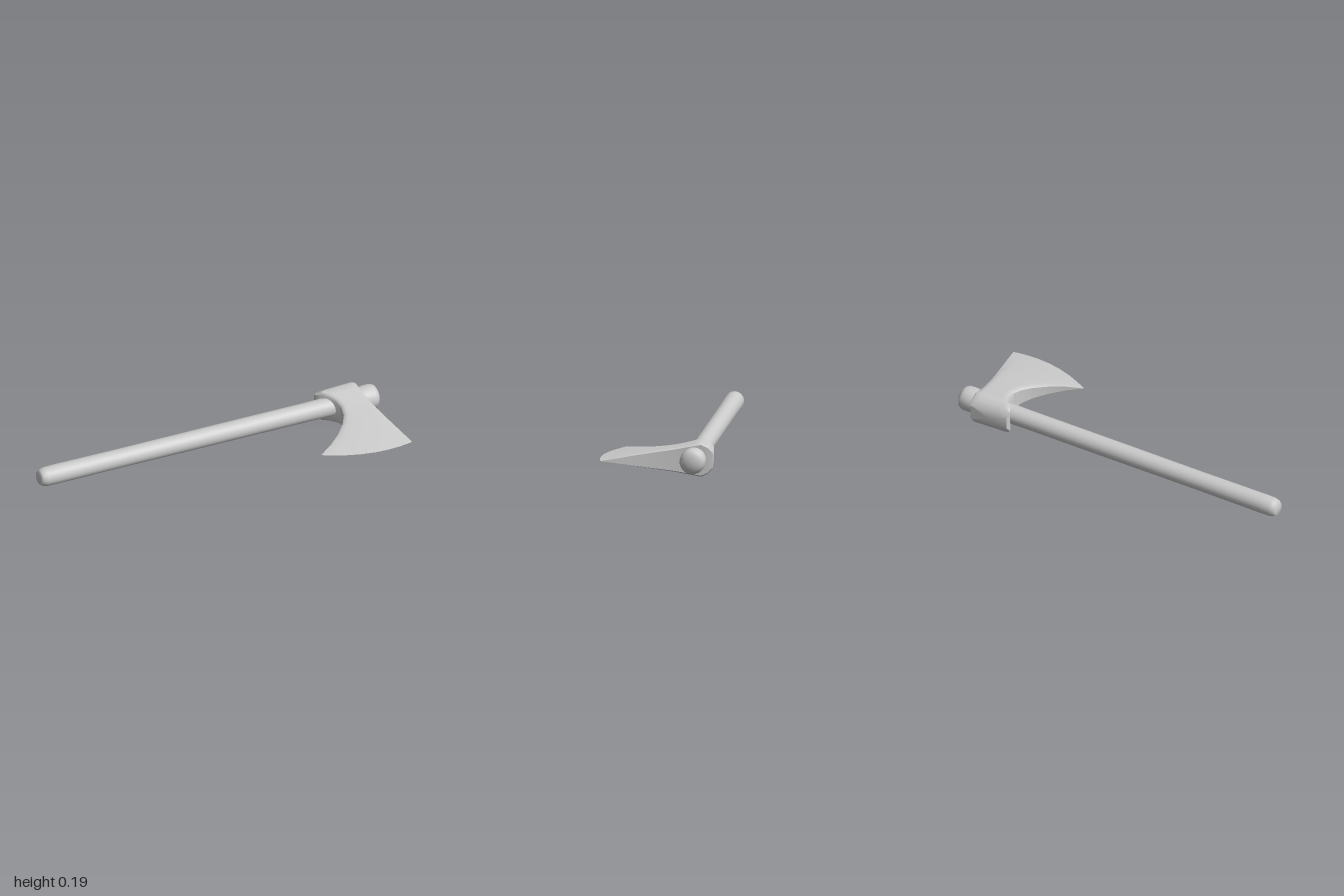
import * as THREE from 'three';
import { toCreasedNormals } from 'three/addons/utils/BufferGeometryUtils.js';

const grey = () => new THREE.MeshStandardMaterial({ color: 0xcccccc });

// Turned shaft along x, with a swollen domed end beyond the head
function makeHandle() {
  const profile = [
    [0, -1], [0.034, -0.998], [0.045, -0.985], [0.052, -0.96], [0.053, -0.9],
    [0.051, -0.5], [0.052, 0], [0.052, 0.6], [0.056, 0.8], [0.066, 0.89],
    [0.069, 0.93], [0.068, 0.965], [0.06, 0.983], [0.042, 0.994], [0.02, 0.999], [0, 1],
  ].map(([r, x]) => new THREE.Vector2(r, x));
  const geo = new THREE.LatheGeometry(profile, 32).rotateZ(-Math.PI / 2);
  const pos = geo.attributes.position;
  // slight droop toward the head
  for (let i = 0; i < pos.count; i++) {
    pos.setY(i, pos.getY(i) + 0.103 - 0.006 * pos.getX(i));
  }
  geo.translate(0, 0, -0.206);
  const mesh = new THREE.Mesh(geo, grey());
  mesh.name = 'handle';
  return mesh;
}

// Axe head lofted from the poll to the cutting edge
function makeHead() {
  const midY = 0.0935;
  // [left x, left z, right x, right z, half thickness, forward bulge]
  const rows = [
    [0.664, -0.288, 0.882, -0.306, 0.045, -0.002],
    [0.656, -0.268, 0.888, -0.28, 0.075, 0],
    [0.672, -0.235, 0.889, -0.245, 0.0925, 0],
    [0.705, -0.2, 0.891, -0.205, 0.085, 0],
    [0.73, -0.15, 0.895, -0.15, 0.074, 0],
    [0.738, -0.1, 0.902, -0.1, 0.064, 0],
    [0.725, -0.04, 0.912, -0.03, 0.053, 0.005],
    [0.69, 0.02, 0.925, 0.04, 0.042, 0.015],
    [0.63, 0.09, 0.942, 0.12, 0.029, 0.025],
    [0.56, 0.15, 0.96, 0.2, 0.015, 0.038],
    [0.48, 0.2, 0.978, 0.286, 0, 0.05],
  ];
  // fractions across the width, with eased thickness at both sides
  const across = [[0, 0.8], [0.05, 0.95], [0.12, 1], [0.25, 1], [0.4, 1], [0.55, 1],
    [0.7, 1], [0.85, 1], [0.96, 0.98], [1, 0.9]];
  const ring = [
    ...across.map(([u, t]) => [u, t]),
    ...across.map(([u, t]) => [u, -t]).reverse(),
  ];
  const n = ring.length;
  const verts = [];
  const faces = [];
  rows.forEach(([xl, zl, xr, zr, half, bulge], i) => {
    ring.forEach(([u, t], j) => {
      verts.push(
        THREE.MathUtils.lerp(xl, xr, u),
        midY + t * half,
        THREE.MathUtils.lerp(zl, zr, u) + bulge * 4 * u * (1 - u),
      );
      if (i === rows.length - 1) return;
      const a = i * n + j;
      const b = i * n + (j + 1) % n;
      faces.push(a, a + n, b, b, a + n, b + n);
    });
  });
  // flat back of the poll
  const centre = verts.length / 3;
  verts.push(0.773, midY, -0.302);
  for (let j = 0; j < n; j++) faces.push(centre, j, (j + 1) % n);

  const geo = new THREE.BufferGeometry();
  geo.setAttribute('position', new THREE.Float32BufferAttribute(verts, 3));
  geo.setIndex(faces);
  const mesh = new THREE.Mesh(toCreasedNormals(geo.toNonIndexed(), 0.7), grey());
  mesh.name = 'axeHead';
  return mesh;
}

export function createModel() {
  const group = new THREE.Group();
  group.name = 'axe';
  group.add(makeHandle(), makeHead());
  return group;
}
